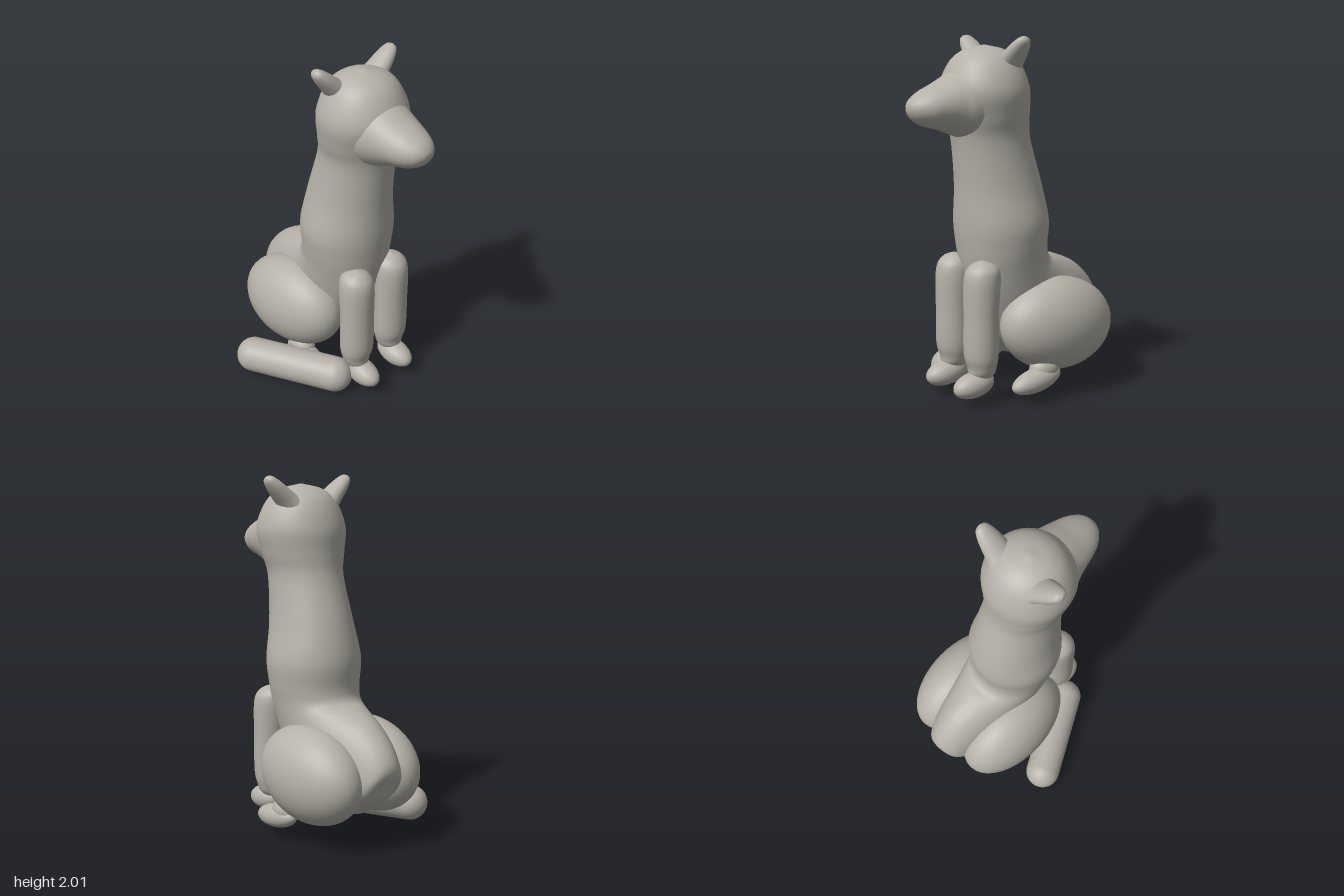
import * as THREE from 'three';
import { mergeVertices } from 'three/addons/utils/BufferGeometryUtils.js';

const CX = 0.09; // centre line of the body

// Smooth skin through elliptical rings: [zFront, yFront, zBack, yBack, halfWidth]
function loft(rows, perRow = 6, sides = 40) {
  const curve = (f) => new THREE.CatmullRomCurve3(rows.map(f), false, 'catmullrom');
  const front = curve((r) => new THREE.Vector3(r[4], r[1], r[0]));
  const back = curve((r) => new THREE.Vector3(0, r[3], r[2]));
  const n = (rows.length - 1) * perRow, pos = [], idx = [];
  for (let i = 0; i <= n; i++) {
    const f = front.getPoint(i / n), b = back.getPoint(i / n);
    const rx = Math.max(0, f.x);
    for (let j = 0; j < sides; j++) {
      const a = (j / sides) * Math.PI * 2, k = Math.cos(a);
      pos.push(rx * Math.sin(a), (f.y + b.y + k * (f.y - b.y)) / 2, (f.z + b.z + k * (f.z - b.z)) / 2);
      if (i < n) {
        const p = i * sides + j, q = i * sides + ((j + 1) % sides);
        idx.push(p, p + sides, q, q, p + sides, q + sides);
      }
    }
  }
  let geo = new THREE.BufferGeometry();
  geo.setAttribute('position', new THREE.Float32BufferAttribute(pos, 3));
  geo.setIndex(idx);
  geo = mergeVertices(geo, 1e-5);
  geo.computeVertexNormals();
  return geo;
}

export function createModel() {
  const group = new THREE.Group();
  const clay = new THREE.MeshStandardMaterial({ color: 0xb5b1a8 });
  clay.name = 'warm grey clay';

  const add = (name, geo, x, y = 0, z = 0) => {
    const mesh = new THREE.Mesh(geo, clay);
    mesh.name = name;
    mesh.position.set(x, y, z);
    group.add(mesh);
    return mesh;
  };
  const ball = (name, x, y, z, rx, ry, rz) => {
    const geo = new THREE.SphereGeometry(1, 40, 28);
    geo.scale(rx, ry, rz);
    return add(name, geo, x, y, z);
  };

  // Head, neck, chest and rump in one sweep
  add('trunk', loft([
    [0.15, 1.96, 0.15, 1.96, 0],
    [0.265, 1.93, 0.035, 1.93, 0.119],
    [0.345, 1.86, -0.045, 1.86, 0.2],
    [0.4, 1.72, -0.095, 1.72, 0.252],
    [0.37, 1.58, -0.1, 1.58, 0.232],
    [0.335, 1.45, -0.115, 1.45, 0.207],
    [0.31, 1.2, -0.19, 1.2, 0.23],
    [0.305, 1.0, -0.23, 1.0, 0.267],
    [0.295, 0.88, -0.225, 0.85, 0.258],
    [0.27, 0.72, -0.25, 0.78, 0.24],
    [0.2, 0.5, -0.33, 0.755, 0.225],
    [0.08, 0.3, -0.46, 0.7, 0.21],
    [-0.1, 0.19, -0.56, 0.62, 0.19],
    [-0.35, 0.17, -0.625, 0.53, 0.15],
    [-0.53, 0.28, -0.635, 0.46, 0.1],
    [-0.6, 0.4, -0.6, 0.4, 0],
  ]), CX);

  // Muzzle, rings running from inside the head to the nose
  add('muzzle', loft([
    [0.15, 1.84, 0.15, 1.45, 0.2],
    [0.3, 1.84, 0.3, 1.465, 0.19],
    [0.38, 1.81, 0.38, 1.49, 0.165],
    [0.46, 1.77, 0.46, 1.52, 0.145],
    [0.54, 1.735, 0.54, 1.54, 0.12],
    [0.6, 1.7, 0.6, 1.572, 0.08],
    [0.628, 1.665, 0.628, 1.61, 0.038],
    [0.635, 1.64, 0.635, 1.64, 0],
  ]), CX);

  const earProfile = new THREE.SplineCurve([
    [0.085, 0], [0.066, 0.07], [0.056, 0.13], [0.045, 0.19], [0.028, 0.235], [0, 0.25],
  ].map(([r, y]) => new THREE.Vector2(r, y))).getPoints(24);
  earProfile.forEach((p) => { p.x = Math.max(0, p.x); });

  const legGeo = loft([
    [0.265, 0.815, 0.265, 0.815, 0],
    [0.33, 0.785, 0.19, 0.785, 0.07],
    [0.368, 0.71, 0.165, 0.72, 0.1],
    [0.37, 0.5, 0.18, 0.5, 0.1],
    [0.37, 0.3, 0.18, 0.3, 0.1],
    [0.352, 0.22, 0.19, 0.22, 0.085],
    [0.34, 0.17, 0.2, 0.17, 0.062],
    [0.27, 0.1, 0.27, 0.1, 0],
  ]);

  // Paired parts
  for (const s of [-1, 1]) {
    const side = s > 0 ? 'left' : 'right';

    const ear = add(side + 'Ear', new THREE.LatheGeometry(earProfile, 32), CX + s * 0.1, 1.825, 0.085);
    ear.scale.set(0.85, 1, 1.2);
    ear.rotation.z = -s * 0.8;

    const legX = CX + s * 0.135;
    add(side + 'FrontLeg', legGeo, legX);
    ball(side + 'FrontPaw', legX, 0.122, 0.325, 0.076, 0.07, 0.128).rotation.x = 0.12;

    const haunch = ball(side + 'Haunch', CX + s * 0.203, 0.4, -0.205, 0.215, 0.267, 0.37);
    haunch.rotation.x = -0.1;

    const foot = ball(side + 'HindFoot', CX + s * 0.285, 0.125, 0.005, 0.07, 0.066, 0.165);
    foot.rotation.x = 0.15;
    ball(side + 'Hock', CX + s * 0.27, 0.175, -0.06, 0.07, 0.07, 0.09);
  }

  // Tail lying on the ground beside the right hind foot
  const a = new THREE.Vector3(-0.408, 0.104, -0.238), b = new THREE.Vector3(-0.17, 0.104, 0.222);
  const dir = b.clone().sub(a);
  const tail = add('tail', new THREE.CapsuleGeometry(0.104, dir.length(), 14, 36), 0);
  tail.position.copy(a).add(b).multiplyScalar(0.5);
  tail.quaternion.setFromUnitVectors(new THREE.Vector3(0, 1, 0), dir.normalize());

  return group;
}
